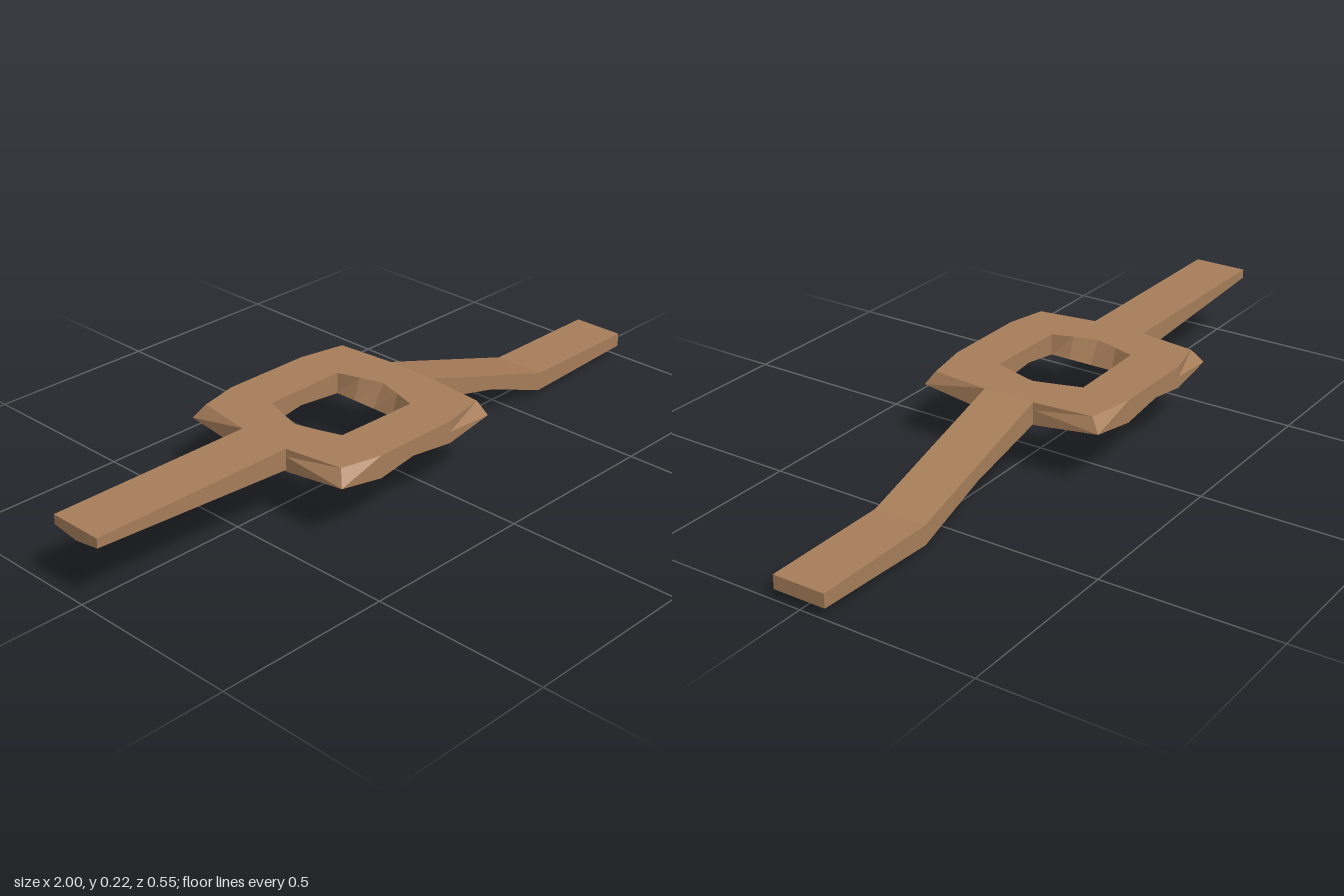
import * as THREE from 'three';

const material = new THREE.MeshStandardMaterial({ color: 0xa97f5b, flatShading: true });

// Skin a row of closed cross-sections; the row is either a closed ring or a capped bar.
function loft(name, sections, closed) {
  const n = sections.length, m = sections[0].length, pos = [];
  const tri = (a, b, c) => pos.push(...a, ...b, ...c);
  for (let i = 0; i < (closed ? n : n - 1); i++) {
    const s = sections[i], t = sections[(i + 1) % n];
    for (let j = 0; j < m; j++) {
      const k = (j + 1) % m;
      tri(s[j], t[j], t[k]);
      tri(s[j], t[k], s[k]);
    }
  }
  if (!closed) {
    const a = sections[0], b = sections[n - 1];
    for (let k = 1; k < m - 1; k++) {
      tri(a[0], a[k], a[k + 1]);
      tri(b[0], b[k + 1], b[k]);
    }
  }
  const geometry = new THREE.BufferGeometry();
  geometry.setAttribute('position', new THREE.Float32BufferAttribute(pos, 3));
  geometry.computeVertexNormals();
  const mesh = new THREE.Mesh(geometry, material);
  mesh.name = name;
  return mesh;
}

const TOP = 0.217;

// Frame section: outer top, outer middle, outer bottom, inner bottom, inner top.
function frameSection(outer, middle, bottom, innerBottom, innerTop) {
  return [[outer[0], TOP, outer[1]], middle, bottom, innerBottom, [innerTop[0], TOP, innerTop[1]]];
}

function frame() {
  const half = [
    // right-hand end, where the bent arm joins
    frameSection([0.15, 0], [0.15, 0.195, 0], [0.15, 0.152, 0], [0, 0.155, 0], [0.04, 0]),
    frameSection([0.15, 0.08], [0.15, 0.195, 0.08], [0.15, 0.152, 0.08], [0, 0.155, 0.07], [0.02, 0.07]),
    // pointed corner
    frameSection([0.135, 0.25], [0.15, 0.178, 0.277], [0.15, 0.178, 0.277], [0, 0.155, 0.135], [0, 0.135]),
    // long side with a raised underside
    frameSection([0, 0.277], [0, 0.185, 0.277], [0, 0.152, 0.277], [0, 0.155, 0.135], [0, 0.135]),
    frameSection([-0.14, 0.277], [-0.14, 0.19, 0.277], [-0.14, 0.17, 0.277], [-0.14, 0.17, 0.133], [-0.14, 0.133]),
    frameSection([-0.26, 0.277], [-0.26, 0.185, 0.277], [-0.26, 0.152, 0.277], [-0.25, 0.155, 0.13], [-0.25, 0.13]),
    // pointed corner
    frameSection([-0.375, 0.25], [-0.4, 0.178, 0.277], [-0.4, 0.178, 0.277], [-0.25, 0.155, 0.13], [-0.25, 0.13]),
    // left-hand end, where the straight arm joins
    frameSection([-0.4, 0.08], [-0.4, 0.195, 0.08], [-0.4, 0.152, 0.08], [-0.25, 0.155, 0.07], [-0.27, 0.07]),
    frameSection([-0.4, 0], [-0.4, 0.195, 0], [-0.4, 0.152, 0], [-0.25, 0.155, 0], [-0.29, 0]),
  ];
  const mirrored = half.slice(1, -1).reverse().map((s) => s.map(([x, y, z]) => [x, y, -z]));
  return loft('frame', [...half, ...mirrored], true);
}

// Arm stations: x, top height, lower edge height, underside ridge height.
function arm(name, halfWidth, stations) {
  const w = halfWidth;
  return loft(name, stations.map(([x, top, edge, ridge]) => [
    [x, top, w], [x, top, -w], [x, edge, -w], [x, ridge, 0], [x, edge, w],
  ]), false);
}

export function createModel() {
  const group = new THREE.Group();
  group.name = 'armedFrame';
  group.add(
    frame(),
    arm('straightArm', 0.08, [
      [-1, TOP, 0.19, 0.178],
      [-0.4, TOP, 0.157, 0.152],
    ]),
    arm('bentArm', 0.077, [
      [0.15, TOP, 0.154, 0.152],
      [0.4, 0.139, 0.095, 0.09],
      [0.62, 0.07, 0.015, 0],
      [1, 0.07, 0.03, 0.03],
    ]),
  );
  return group;
}
